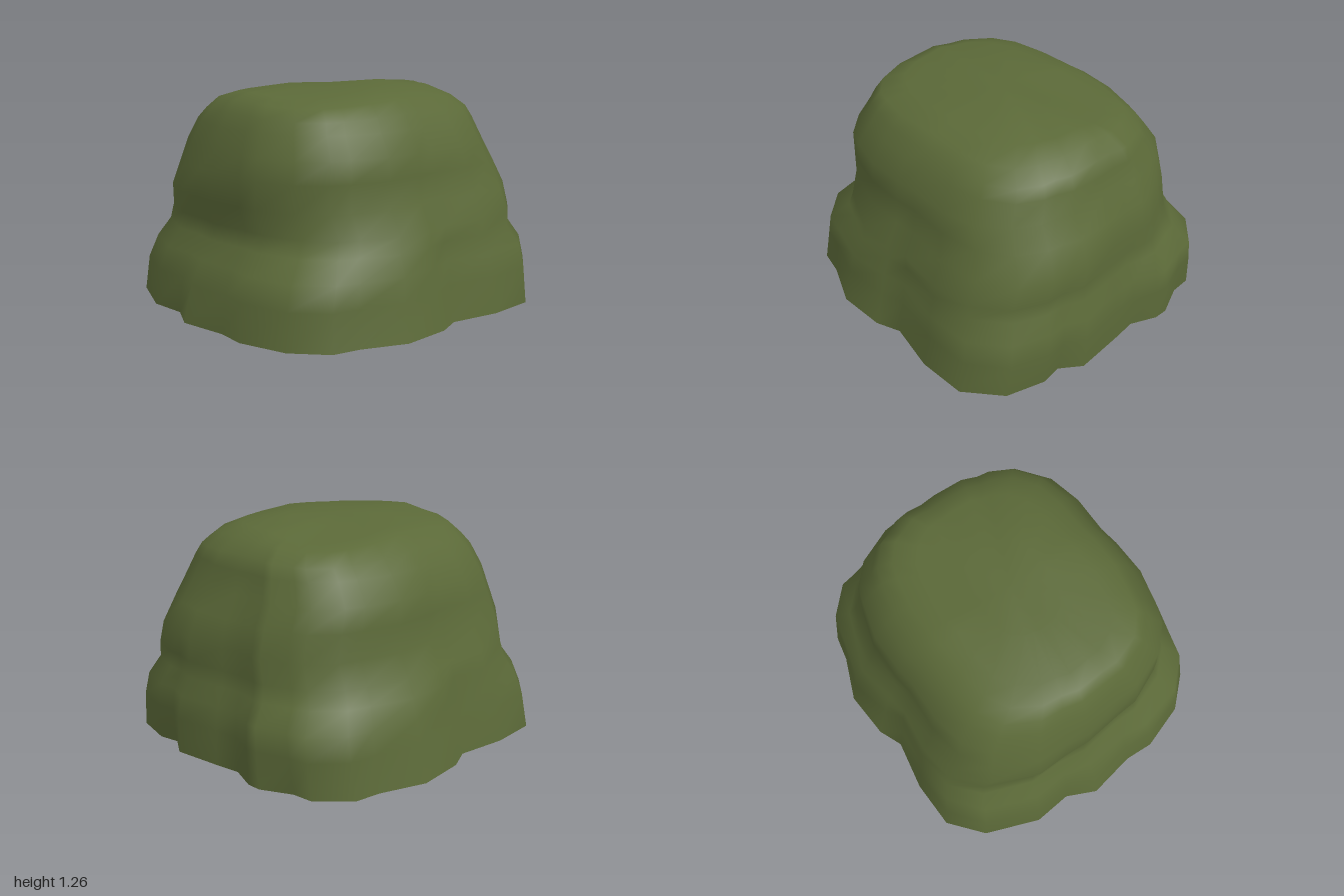
import * as THREE from 'three';

// Ground outline, as x, z pairs running from +x round by +z
const outline = [
  1, -0.3, 0.94, -0.15, 0.96, 0, 0.99, 0.28, 0.91, 0.4, 0.93, 0.52, 0.87, 0.74, 0.68, 0.91,
  0.4, 0.93, 0.11, 0.88, -0.03, 0.94, -0.31, 0.96, -0.56, 0.86, -0.71, 0.83, -0.87, 0.66,
  -0.96, 0.39, -0.95, 0.22, -1, -0.06, -0.92, -0.23, -0.94, -0.45, -0.82, -0.76, -0.63, -0.92,
  -0.35, -0.93, -0.06, -0.88, 0.08, -0.94, 0.36, -0.96, 0.61, -0.86, 0.76, -0.83, 0.91, -0.67,
  0.92, -0.55, 1, -0.38,
];

// Height, reach towards +x, -x, +z and -z, then the swell of the two diagonal
// pairs of corners: where x and z share a sign, and where they differ
const levels = [
  [0, 1, 1, 0.96, 0.96, 1, 1],
  [0.2, 0.99, 0.95, 0.91, 0.91, 1.03, 1.02],
  [0.33, 0.97, 0.89, 0.88, 0.87, 1.04, 1.04],
  [0.43, 0.94, 0.83, 0.84, 0.85, 1.01, 0.97],
  [0.52, 0.93, 0.81, 0.84, 0.82, 1.01, 0.95],
  [0.65, 0.92, 0.83, 0.77, 0.76, 1.02, 0.96],
  [0.8, 0.88, 0.82, 0.76, 0.75, 0.98, 0.96],
  [0.92, 0.81, 0.79, 0.74, 0.72, 0.97, 0.98],
  [1.04, 0.79, 0.76, 0.67, 0.65, 0.95, 0.95],
  [1.12, 0.75, 0.71, 0.62, 0.58, 0.96, 0.98],
  [1.185, 0.66, 0.66, 0.55, 0.49, 0.96, 1],
  [1.22, 0.56, 0.57, 0.42, 0.38, 0.95, 0.98],
  [1.235, 0.28, 0.29, 0.22, 0.2, 0.95, 0.95],
];

function rockGeometry() {
  const n = outline.length / 2;
  const positions = [];
  const index = [];

  levels.forEach(([y, right, left, front, back, same, differ]) => {
    // The lobes of the ground outline soften into a rounded square higher up
    const soften = 0.65 * Math.min(1, y / 0.6);
    for (let i = 0; i < n; i++) {
      const bx = outline[i * 2];
      const bz = outline[i * 2 + 1] / 0.96;
      const a = Math.atan2(bz, bx);
      const square = (Math.abs(bx) ** 3.6 + Math.abs(bz) ** 3.6) ** (-1 / 3.6);
      const corner = Math.abs(Math.sin(2 * a)) ** 1.5;
      const swell = bx * bz > 0 ? same : differ;
      // Weathered dents, fading at the ground and the summit
      const fade = Math.sin(Math.PI * Math.min(1, y / 1.22));
      const dent = 1 + 0.015 * fade * (Math.sin(5 * a + 4 * y) * Math.cos(3 * a - 6 * y) - 0.5);
      const r = (1 + (square - 1) * soften) * (1 + (swell - 1) * corner) * dent;
      // The summit droops a little at the corners and rises to the front
      const droop = y > 1.1 && y < 1.23 ? 0.02 * corner : 0;
      const tilt = y > 1.2 ? 0.012 * bz + 0.015 * bx * bz : 0;
      positions.push(
        bx * (bx > 0 ? right : left) * r,
        y - droop + tilt,
        bz * (bz > 0 ? front : back) * r,
      );
    }
  });

  // Walls
  for (let j = 0; j < levels.length - 1; j++) {
    for (let i = 0; i < n; i++) {
      const a = j * n + i;
      const b = j * n + ((i + 1) % n);
      index.push(a, a + n, b, b, a + n, b + n);
    }
  }

  // Summit fan; the underside stays open
  const centre = positions.length / 3;
  positions.push(0, 1.24, 0);
  const rim = (levels.length - 1) * n;
  for (let i = 0; i < n; i++) index.push(rim + i, centre, rim + ((i + 1) % n));

  const geometry = new THREE.BufferGeometry();
  geometry.setAttribute('position', new THREE.Float32BufferAttribute(positions, 3));
  geometry.setIndex(index);
  geometry.computeVertexNormals();
  return geometry;
}

export function createModel() {
  const moss = new THREE.MeshStandardMaterial({ color: 0x5b6938, side: THREE.DoubleSide });
  moss.name = 'mossy green';
  const rock = new THREE.Mesh(rockGeometry(), moss);
  rock.name = 'boulder';
  const group = new THREE.Group();
  group.name = 'mossyRock';
  group.add(rock);
  return group;
}
